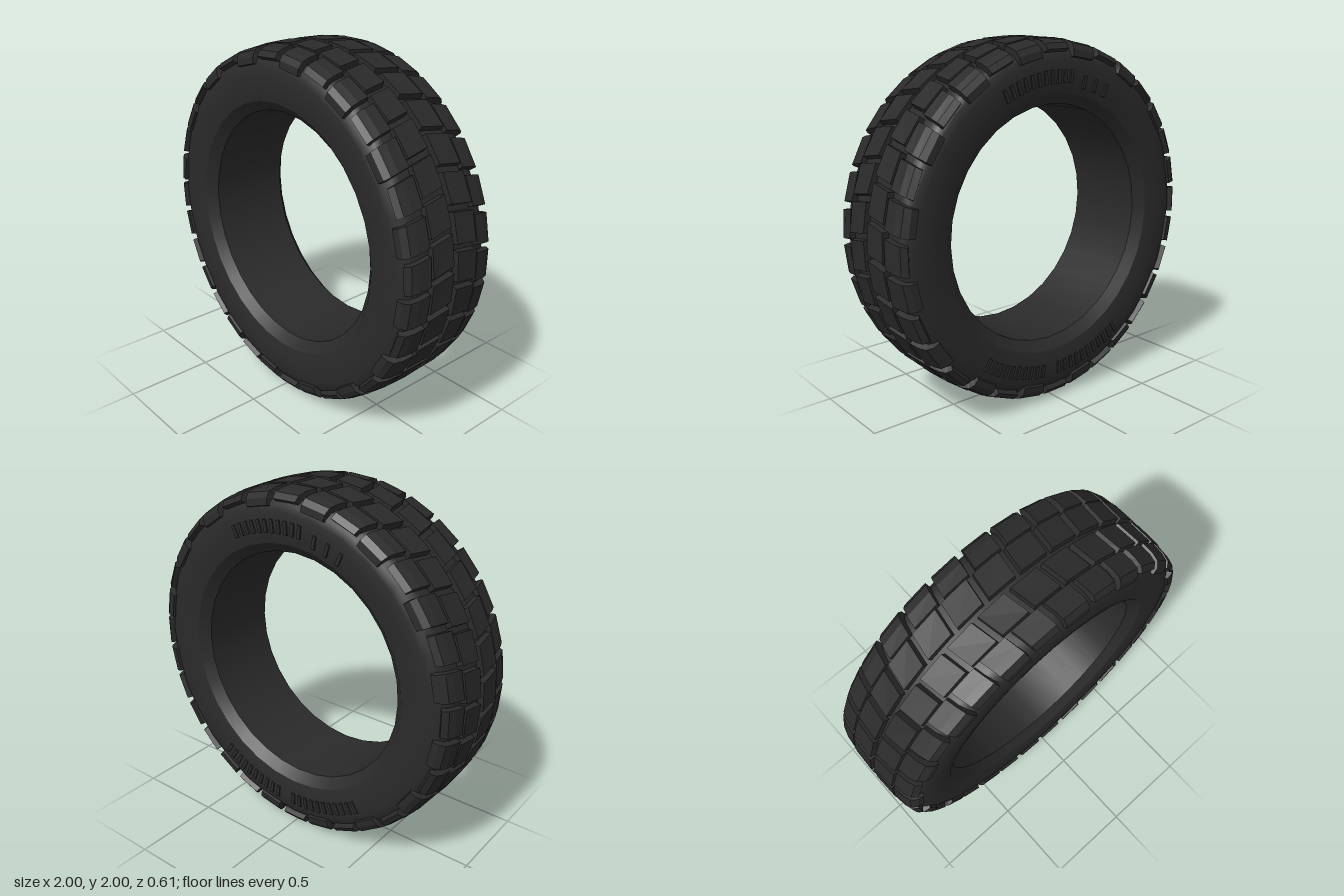
import * as THREE from 'three';
import { mergeGeometries } from 'three/addons/utils/BufferGeometryUtils.js';

const COUNT = 32;                       // tread blocks per row
const PITCH = (Math.PI * 2) / COUNT;
const SKEW = 0.17;                      // angular lean of the blocks per unit of width

// Surface of revolution around z from [radius, z] points
function ring(points) {
  const g = new THREE.LatheGeometry(points.map(([r, z]) => new THREE.Vector2(r, z)), COUNT);
  g.rotateX(Math.PI / 2);
  return g;
}

// Point at angle a clockwise from the top
const polar = (r, a, z) => [r * Math.sin(a), r * Math.cos(a), z];

// Tread block lofted through stations [top radius, top z, base radius, base z]
function block(stations, start, width, side) {
  const pos = [];
  const quad = (a, b, c, d) => {
    const order = side > 0 ? [a, b, c, a, c, d] : [a, c, b, a, d, c];
    order.forEach((p) => pos.push(...p));
  };
  const sections = stations.map(([rt, zt, rb, zb]) => {
    const a0 = start + SKEW * (zt - stations[0][1]);
    const a1 = a0 + width;
    return [
      polar(rb, a0 - 0.006, zb * side), polar(rt, a0, zt * side),
      polar(rt, a1, zt * side), polar(rb, a1 + 0.006, zb * side),
    ];
  });
  for (let i = 0; i < sections.length - 1; i++) {
    const s = sections[i], t = sections[i + 1];
    for (let k = 0; k < 3; k++) quad(s[k], t[k], t[k + 1], s[k + 1]);
  }
  const first = sections[0], last = sections[sections.length - 1];
  quad(first[0], first[1], first[2], first[3]);
  quad(last[3], last[2], last[1], last[0]);
  const g = new THREE.BufferGeometry();
  g.setAttribute('position', new THREE.Float32BufferAttribute(pos, 3));
  g.computeVertexNormals();
  return g;
}

export function createModel() {
  const model = new THREE.Group();
  model.name = 'tyre';
  const rubber = new THREE.MeshStandardMaterial({ color: 0x2a2a2a });
  rubber.name = 'black rubber';

  const wheel = new THREE.Group();
  wheel.name = 'tyreBody';
  wheel.position.y = 1;
  model.add(wheel);
  const add = (name, geometry) => {
    const mesh = new THREE.Mesh(geometry, rubber);
    mesh.name = name;
    wheel.add(mesh);
  };

  // Carcass: sidewalls and tread base in one smooth skin
  const half = [
    [0.71, 0.285], [0.76, 0.296], [0.82, 0.3], [0.875, 0.296], [0.915, 0.284],
    [0.945, 0.26], [0.96, 0.22], [0.966, 0.15], [0.968, 0.05],
  ];
  const mirrored = half.map(([r, z]) => [r, -z]);
  add('carcass', ring([...mirrored, ...half.slice().reverse()]));

  // Bead bevels and bore
  add('frontBead', ring([[0.71, 0.285], [0.655, 0.235]]));
  add('backBead', ring([[0.655, -0.235], [0.71, -0.285]]));
  add('bore', ring([[0.655, 0.235], [0.655, -0.235]]));

  // Tread: two rows per side, every second shoulder block reaches down the sidewall
  const centre = [[1.0, 0.015, 0.95, 0.013], [0.996, 0.155, 0.95, 0.157]];
  const shortShoulder = [
    [0.992, 0.166, 0.94, 0.164], [0.985, 0.235, 0.93, 0.22],
    [0.972, 0.277, 0.92, 0.245], [0.942, 0.3, 0.915, 0.26],
  ];
  const longShoulder = [...shortShoulder, [0.905, 0.304, 0.895, 0.27]];
  const rows = [
    { name: 'front', side: 1, centreStart: -0.035, shoulderStart: 0.03 },
    { name: 'back', side: -1, centreStart: 0.06, shoulderStart: 0.11 },
  ];
  for (const { name, side, centreStart, shoulderStart } of rows) {
    const inner = [], outer = [];
    for (let i = 0; i < COUNT; i++) {
      inner.push(block(centre, centreStart + i * PITCH, 0.158, side));
      outer.push(block(i % 2 ? shortShoulder : longShoulder, shoulderStart + i * PITCH, 0.155, side));
    }
    add(name + 'CentreBlocks', mergeGeometries(inner));
    add(name + 'ShoulderBlocks', mergeGeometries(outer));
  }

  // Raised ribs on the back sidewall: [first angle, last angle, count, radius] in degrees from the top
  const ribs = [];
  const groups = [
    [-26, 6, 11, 0.8], [13, 25, 3, 0.78],
    [147, 179, 11, 0.82], [187, 216, 10, 0.82],
  ];
  for (const [from, to, count, radius] of groups) {
    for (let i = 0; i < count; i++) {
      const a = THREE.MathUtils.degToRad(from + ((to - from) * i) / (count - 1));
      const g = new THREE.BoxGeometry(0.02, 0.07, 0.016);
      g.translate(0, radius, -0.299);
      g.rotateZ(a);
      ribs.push(g);
    }
  }
  add('sidewallRibs', mergeGeometries(ribs));

  return model;
}
